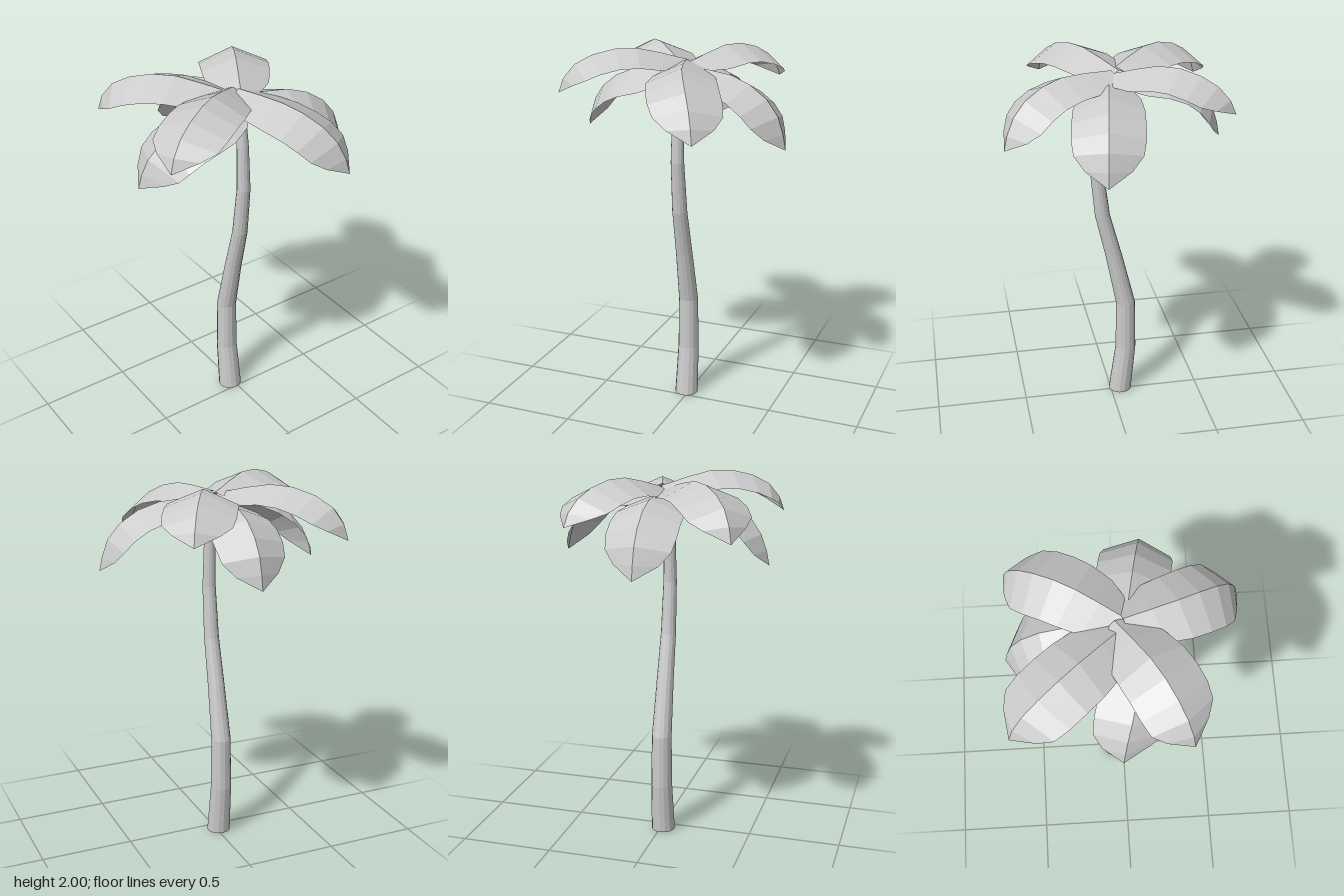
import * as THREE from 'three';

const bark = new THREE.MeshStandardMaterial({ color: 0xcccccc, flatShading: true });
const frond = new THREE.MeshStandardMaterial({ color: 0xcccccc, flatShading: true, side: THREE.DoubleSide });

// Trunk rings: [height, centre z, radius]
const RINGS = [
  [0, -0.055, 0.065], [0.28, -0.087, 0.058], [0.57, -0.085, 0.054], [0.87, -0.018, 0.046],
  [1.12, 0.045, 0.041], [1.4, 0.077, 0.036], [1.65, 0.068, 0.031], [1.9, 0.035, 0.028],
];

// Half width of a leaf at stations along its rib: [fraction of length, half width]
const STATIONS = [
  [0, 0.03], [0.06, 0.11], [0.18, 0.16], [0.35, 0.178],
  [0.5, 0.182], [0.65, 0.182], [0.78, 0.17], [0.9, 0.115], [1, 0],
];

// Leaves: base [x, z], tip [x, z], rib heights at the fractions in ALONG,
// sideways bow of the rib, tilt of the whole blade about the rib
const ALONG = [0, 0.45, 0.75, 0.93, 1];
const LEAVES = [
  { name: 'backLeaf', base: [-0.01, -0.02], tip: [-0.01, -0.585], rise: [1.9, 1.895, 1.825, 1.7, 1.54], bow: 0, tilt: 0 },
  { name: 'leftLeaf', base: [0, 0.01], tip: [0.585, 0.12], rise: [1.9, 1.885, 1.81, 1.69, 1.535], bow: 0, tilt: 0 },
  { name: 'rightLeaf', base: [-0.01, 0.09], tip: [-0.575, -0.03], rise: [1.9, 1.88, 1.795, 1.675, 1.54], bow: 0.03, tilt: 0.25 },
  { name: 'backRightLeaf', base: [-0.03, 0], tip: [-0.49, -0.56], rise: [1.92, 1.985, 1.945, 1.86, 1.74], bow: 0.015, tilt: 0 },
  { name: 'backLeftLeaf', base: [0.015, 0.01], tip: [0.34, -0.565], rise: [1.92, 1.99, 1.95, 1.87, 1.78], bow: 0, tilt: 0 },
  { name: 'frontLeaf', base: [0.005, 0], tip: [0.26, 0.58], rise: [1.935, 1.935, 1.87, 1.76, 1.635], bow: -0.035, tilt: 0 },
  { name: 'frontRightLeaf', base: [0, -0.04], tip: [-0.585, 0.3], rise: [1.93, 2.0, 1.965, 1.885, 1.775], bow: 0.02, tilt: 0 },
];

// Tapered cylinder whose rings follow the bend of the stem
function makeTrunk() {
  const n = RINGS.length - 1;
  const geo = new THREE.CylinderGeometry(1, 1, 1, 14, n);
  const pos = geo.attributes.position;
  for (let i = 0; i < pos.count; i++) {
    const [y, z, r] = RINGS[Math.round((pos.getY(i) + 0.5) * n)];
    pos.setXYZ(i, pos.getX(i) * r - 0.015, y, pos.getZ(i) * r + z);
  }
  geo.computeVertexNormals();
  const mesh = new THREE.Mesh(geo, bark);
  mesh.name = 'trunk';
  return mesh;
}

// Folded sheet: a curved central rib with a sloping blade on each side
function makeLeaf({ name, base, tip, rise, bow, tilt }) {
  const out = new THREE.Vector3(tip[0] - base[0], 0, tip[1] - base[1]).normalize();
  const side = new THREE.Vector3(0, 1, 0).cross(out);
  const rib = new THREE.CatmullRomCurve3(ALONG.map((f, i) => new THREE.Vector3(
    THREE.MathUtils.lerp(base[0], tip[0], f), rise[i], THREE.MathUtils.lerp(base[1], tip[1], f),
  ).addScaledVector(side, bow * 4 * f * (1 - f))));
  const n = STATIONS.length - 1;
  const geo = new THREE.PlaneGeometry(2, 1, 2, n);
  const pos = geo.attributes.position;
  for (let i = 0; i < pos.count; i++) {
    const [t, w] = STATIONS[Math.round((0.5 - pos.getY(i)) * n)];
    const s = Math.round(pos.getX(i));
    const up = rib.getTangentAt(t).cross(side);
    const droop = 0.42 * Math.abs(s) + tilt * s;
    const p = rib.getPointAt(t).addScaledVector(side, s * w).addScaledVector(up, -droop * w);
    pos.setXYZ(i, p.x, p.y, p.z);
  }
  geo.computeVertexNormals();
  const mesh = new THREE.Mesh(geo, frond);
  mesh.name = name;
  return mesh;
}

export function createModel() {
  const model = new THREE.Group();
  model.name = 'palmTree';
  const crown = new THREE.Group();
  crown.name = 'crown';
  LEAVES.forEach((leaf) => crown.add(makeLeaf(leaf)));
  model.add(makeTrunk(), crown);
  return model;
}
